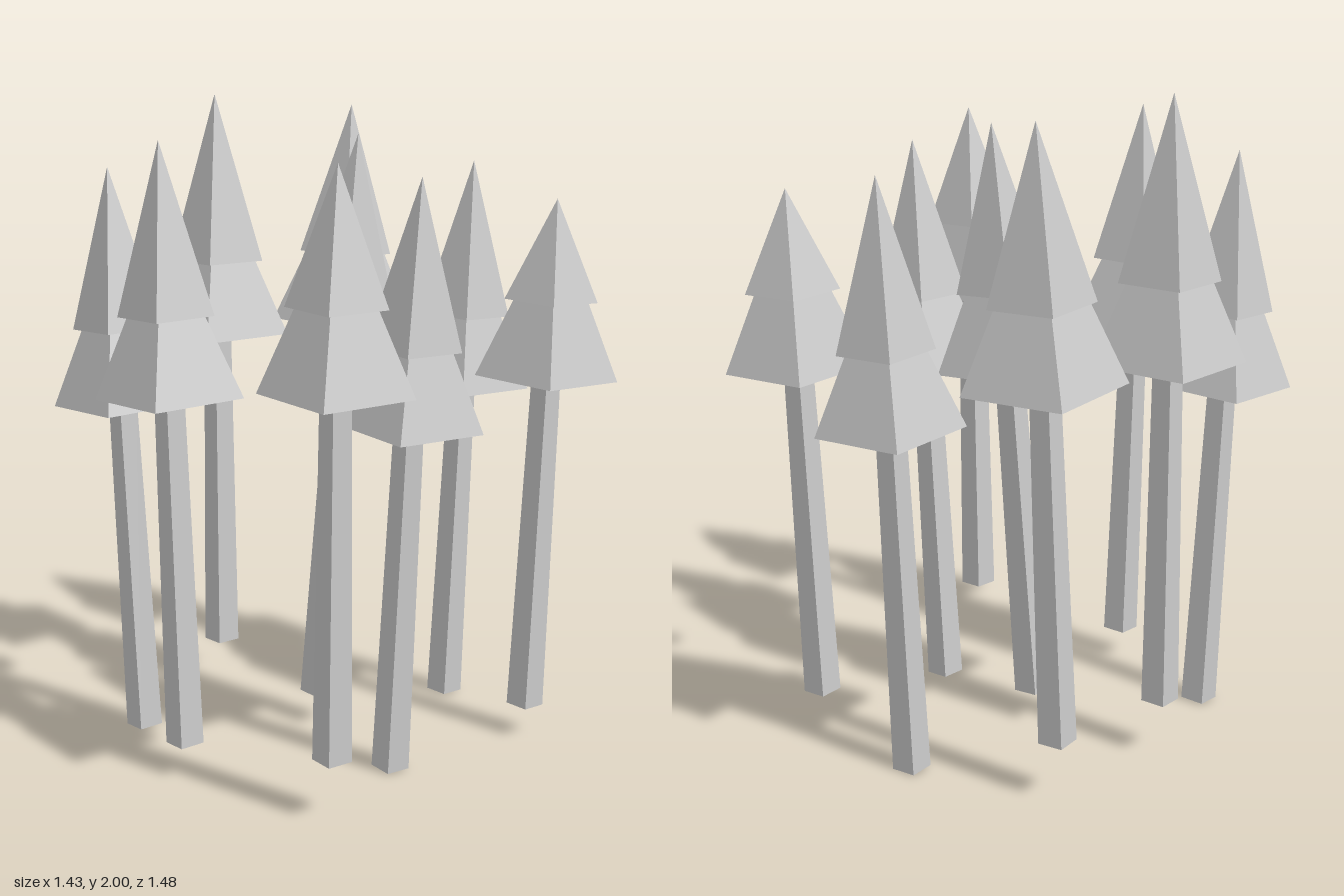
import * as THREE from 'three';

const material = new THREE.MeshStandardMaterial({ color: 0xcccccc, flatShading: true });

// Four-sided solid with flat sides facing the axes, standing on its own base.
function squareTaper(topWidth, bottomWidth, height) {
  const g = new THREE.CylinderGeometry(topWidth * Math.SQRT1_2, bottomWidth * Math.SQRT1_2, height, 4);
  return g.rotateY(Math.PI / 4).translate(0, height / 2, 0);
}

function addPart(parent, name, geometry, y) {
  const mesh = new THREE.Mesh(geometry, material);
  mesh.name = name;
  mesh.position.y = y;
  parent.add(mesh);
}

// A leaning tree: trunk, wide lower foliage and narrower upper foliage.
function makeTree({ base, tip, yaw, size = 1, lower, upper }) {
  const tree = new THREE.Group();
  tree.name = 'tree';
  const foot = new THREE.Vector3(...base);
  const axis = new THREE.Vector3(...tip).sub(foot);
  const length = axis.length();
  const along = length / axis.y; // vertical height to length along the trunk
  const lowerY = (lower - foot.y) * along;
  const upperY = (upper - foot.y) * along;

  addPart(tree, 'trunk', squareTaper(0.062, 0.08, lowerY + 0.05), 0);
  addPart(tree, 'lowerFoliage', squareTaper(0, 0.308 * size, 0.5 * size), lowerY);
  addPart(tree, 'upperFoliage', squareTaper(0, 0.2 * size, length - upperY), upperY);

  tree.position.copy(foot);
  tree.quaternion.setFromUnitVectors(new THREE.Vector3(0, 1, 0), axis.normalize());
  tree.rotateY(THREE.MathUtils.degToRad(yaw));
  return tree;
}

export function createModel() {
  const grove = new THREE.Group();
  grove.name = 'grove';
  const trees = [
    // back row
    { base: [-0.495, 0.18, -0.415], tip: [-0.463, 1.96, -0.485], yaw: 4, size: 1.08, lower: 1.23, upper: 1.465 },
    { base: [-0.04, 0.005, -0.54], tip: [0, 1.79, -0.606], yaw: 2.2, lower: 1.055, upper: 1.29 },
    { base: [0.415, 0.1, -0.457], tip: [0.455, 1.7, -0.51], yaw: 1.4, lower: 1.15, upper: 1.39 },
    // middle row
    { base: [-0.553, 0.175, 0.017], tip: [-0.556, 2, 0.017], yaw: 0, size: 1.06, lower: 1.225, upper: 1.465 },
    { base: [-0.097, 0.1, -0.028], tip: [-0.004, 1.89, -0.114], yaw: 1.2, lower: 1.15, upper: 1.39 },
    { base: [0.352, 0.005, 0.062], tip: [0.455, 1.79, 0.048], yaw: -3.6, lower: 1.06, upper: 1.295 },
    // front row
    { base: [-0.43, 0.005, 0.424], tip: [-0.485, 1.79, 0.48], yaw: -0.7, lower: 1.055, upper: 1.295 },
    { base: [-0.014, 0.1, 0.562], tip: [-0.045, 1.89, 0.598], yaw: -0.7, lower: 1.15, upper: 1.39 },
    { base: [0.522, 0.175, 0.438], tip: [0.572, 1.85, 0.46], yaw: -3.6, lower: 1.225, upper: 1.465 },
  ];
  for (const t of trees) grove.add(makeTree(t));
  return grove;
}
